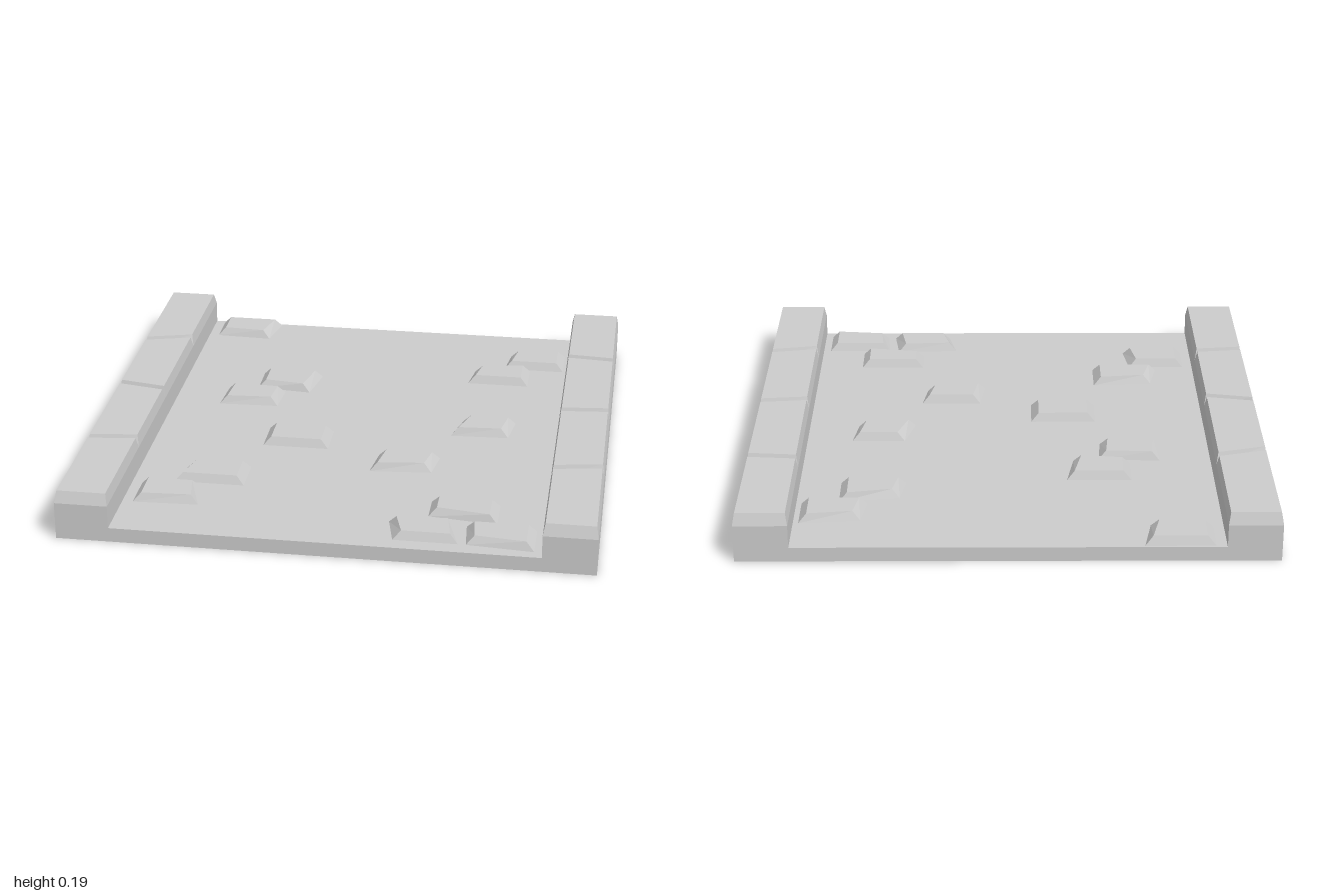
import * as THREE from 'three';

const FLOOR = 0.056, STONE_TOP = 0.089, CREASE = 0.145, KERB_TOP = 0.19;
const material = new THREE.MeshStandardMaterial({ color: 0xcccccc, flatShading: true, side: THREE.DoubleSide });

// Flat-shaded mesh from a list of four-cornered faces
function quadMesh(name, quads) {
  const points = quads.flatMap(([a, b, c, d]) => [a, b, c, a, c, d]).flat();
  const geometry = new THREE.BufferGeometry();
  geometry.setAttribute('position', new THREE.Float32BufferAttribute(points, 3));
  geometry.computeVertexNormals();
  const mesh = new THREE.Mesh(geometry, material);
  mesh.name = name;
  return mesh;
}

// Walls between two four-cornered outlines of [x, z], open below.
// Corners run back left, back right, front right, front left in plan.
function shell(low, y0, high, y1, capped) {
  const quads = low.map((a, i) => {
    const j = (i + 1) % 4, b = low[j], c = high[i], d = high[j];
    return [[b[0], y0, b[1]], [a[0], y0, a[1]], [c[0], y1, c[1]], [d[0], y1, d[1]]];
  });
  if (capped) quads.push([0, 3, 2, 1].map(i => [high[i][0], y1, high[i][1]]));
  return quads;
}

const inset = (corners, dx, dz) => corners.map(([x, z], i) => [
  x + (i === 0 || i === 3 ? dx : -dx),
  z + (i < 2 ? dz : -dz),
]);

// Kerb: one continuous body, with four bevelled caps parted by slanted V grooves
function kerb(name, x0, x1, joints) {
  const group = new THREE.Group();
  group.name = name;
  const outline = [[x0, -1], [x1, -1], [x1, 1], [x0, 1]];
  group.add(quadMesh('kerbBody', shell(outline, 0, outline, CREASE, false)));
  const cuts = [[-1, -1], ...joints, [1, 1]];
  for (let i = 0; i < cuts.length - 1; i++) {
    const [a, b] = [cuts[i], cuts[i + 1]];
    const low = [[x0, a[0]], [x1, a[1]], [x1, b[1]], [x0, b[0]]];
    group.add(quadMesh('kerbCap', shell(low, CREASE, inset(low, 0.008, 0.017), KERB_TOP, true)));
  }
  return group;
}

// Plan corners of the raised stones, in hundredths of a unit
const STONES = [
  [-76, -99, -50, -99, -53, -83, -76, -84],
  [55, -79, 78, -81, 78, -65, 53, -65],
  [41, -61, 64, -64, 64, -48, 39, -48],
  [-48, -46, -23, -46, -26, -29, -48, -31],
  [-60, -29, -36, -28, -37, -14, -61, -13],
  [41, -11, 62, -11, 60, 3, 37, 4],
  [-36, 7, -10, 7, -10, 23, -36, 23],
  [11, 25, 35, 25, 33, 38, 9, 40],
  [-61, 45, -37, 43, -37, 59, -64, 59],
  [-76, 62, -53, 62, -51, 77, -76, 78],
  [36, 62, 62, 62, 62, 77, 36, 74],
  [22, 80, 47, 79, 49, 94, 25, 94],
  [51, 80, 77, 80, 77, 96, 52, 94],
];

export function createModel() {
  const model = new THREE.Group();
  model.name = 'roadSection';

  // Road surface with a front and a back skirt, open below
  const w = 0.8, y = FLOOR;
  model.add(quadMesh('roadSurface', [
    [[-w, y, -1], [-w, y, 1], [w, y, 1], [w, y, -1]],
    [[-w, 0, 1], [w, 0, 1], [w, y, 1], [-w, y, 1]],
    [[w, 0, -1], [-w, 0, -1], [-w, y, -1], [w, y, -1]],
  ]));

  // Kerbs along both sides; each joint gives z at the low-x and high-x edge
  model.add(kerb('rightKerb', -1, -w, [[-0.455, -0.505], [0, 0.035], [0.515, 0.495]]));
  model.add(kerb('leftKerb', w, 1, [[-0.52, -0.505], [0.012, -0.005], [0.53, 0.498]]));

  // Scattered stones with sloping sides
  const stones = new THREE.Group();
  stones.name = 'stones';
  for (const s of STONES) {
    const low = [0, 2, 4, 6].map(i => [s[i] / 100, s[i + 1] / 100]);
    stones.add(quadMesh('stone', shell(low, FLOOR, inset(low, 0.03, 0.016), STONE_TOP, true)));
  }
  model.add(stones);
  return model;
}
